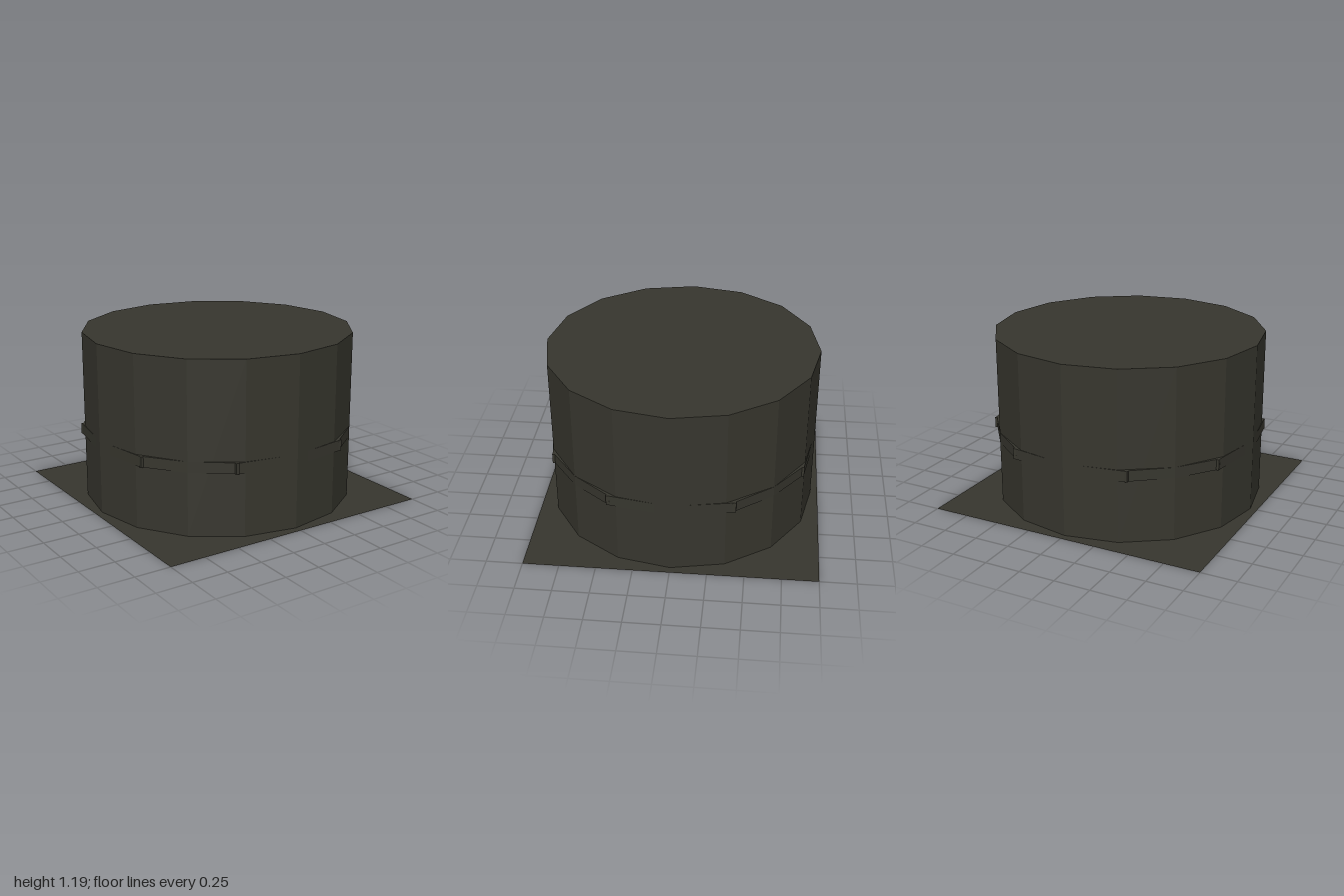
import * as THREE from 'three';

const R = 0.95, H = 1.19, SIDES = 16;
const BAR_Y = 0.478, BAR_H = 0.075, BAR_W = 0.06, SPACING = 0.4;

// closed outline through points at the given angles and radii
function outline(PathType, points) {
  const path = new PathType();
  points.forEach(([a, r], i) => {
    const x = Math.sin(a) * r, y = Math.cos(a) * r;
    i ? path.lineTo(x, y) : path.moveTo(x, y);
  });
  path.closePath();
  return path;
}

export function createModel() {
  const group = new THREE.Group();
  const metal = new THREE.MeshStandardMaterial({
    color: 0x37362e, side: THREE.DoubleSide, flatShading: true,
  });
  metal.name = 'dark metal';

  const add = (name, geometry) => {
    const mesh = new THREE.Mesh(geometry, metal);
    mesh.name = name;
    group.add(mesh);
    return mesh;
  };

  // flat square flange with a sixteen-sided opening
  const square = new THREE.Shape([
    new THREE.Vector2(-1, -1), new THREE.Vector2(1, -1),
    new THREE.Vector2(1, 1), new THREE.Vector2(-1, 1),
  ]);
  const rim = Array.from({ length: SIDES }, (_, i) => [i * Math.PI * 2 / SIDES, R]);
  square.holes.push(outline(THREE.Path, rim));
  add('flange', new THREE.ShapeGeometry(square).rotateX(-Math.PI / 2));

  // duct wall, open at the bottom, and its flat lid
  add('ductWall', new THREE.CylinderGeometry(R, R, H, SIDES, 1, true).translate(0, H / 2, 0));
  add('lid', new THREE.CircleGeometry(R, SIDES).rotateX(-Math.PI / 2).translate(0, H, 0));

  // thin band whose corners meet the ends of the grate bars
  const tilt = Math.asin(SPACING / R);
  const band = [];
  for (let q = 0; q < 4; q++) {
    const a = q * Math.PI / 2;
    band.push([a, R - 0.002], [a + tilt, R + 0.015],
      [a + Math.PI / 4, R], [a + Math.PI / 2 - tilt, R + 0.015]);
  }
  const bandShape = outline(THREE.Shape, band);
  bandShape.holes.push(outline(THREE.Path, band.map(([a, r]) => [a, r - 0.025])));
  add('grateBand', new THREE.ExtrudeGeometry(bandShape, { depth: BAR_H, bevelEnabled: false })
    .rotateX(-Math.PI / 2).translate(0, BAR_Y - BAR_H / 2, 0));

  // crossing grate bars
  for (const offset of [-SPACING, 0, SPACING]) {
    const length = 2 * (offset ? 0.875 : 0.94);
    add('grateBarLengthwise', new THREE.BoxGeometry(BAR_W, BAR_H, length))
      .position.set(offset, BAR_Y, 0);
    add('grateBarCrosswise', new THREE.BoxGeometry(length, BAR_H, BAR_W))
      .position.set(0, BAR_Y, offset);
  }

  return group;
}
